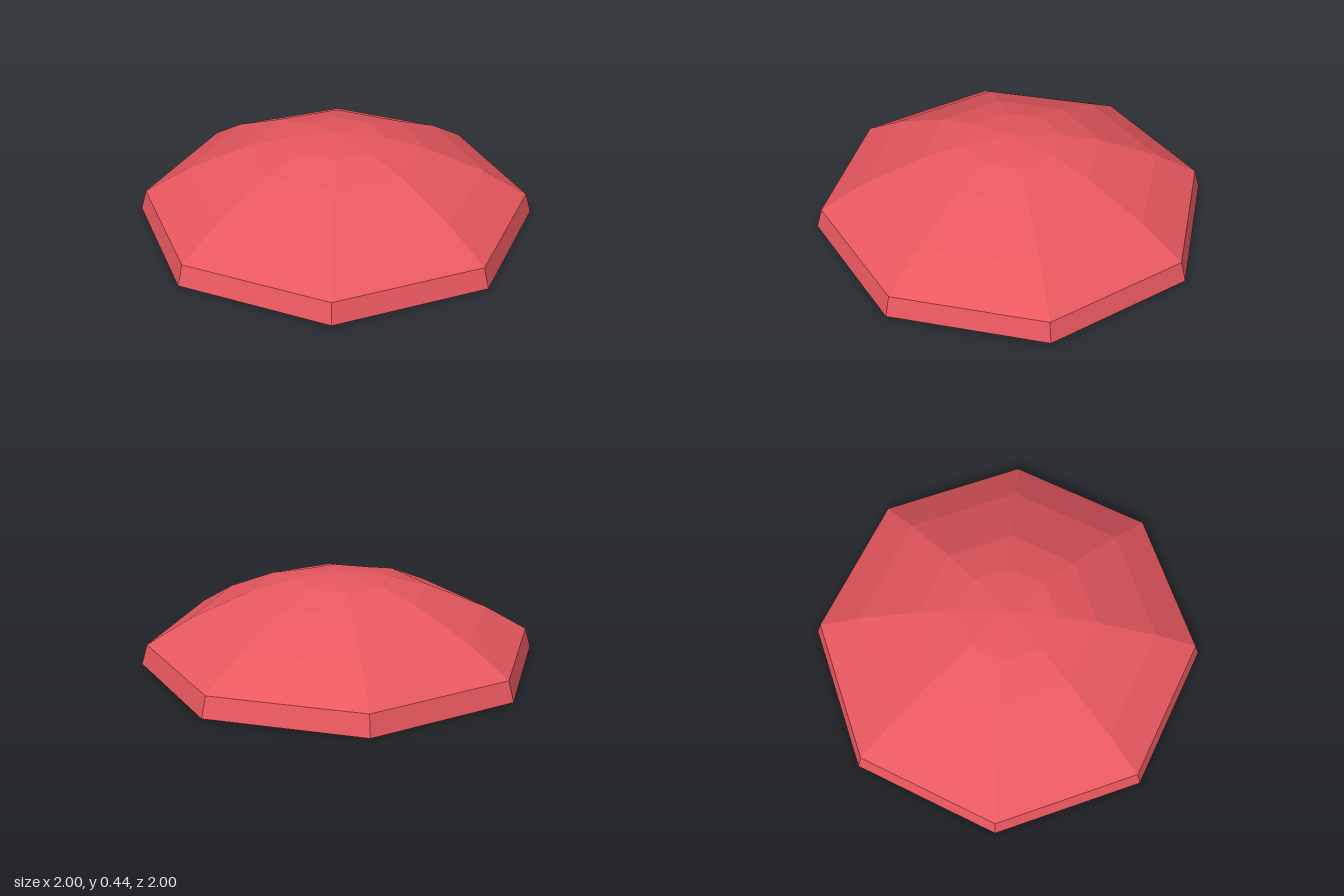
import * as THREE from 'three';

const SIDES = 8;

export function createModel() {
  const model = new THREE.Group();
  model.name = 'parasolCanopy';
  const cloth = new THREE.MeshStandardMaterial({
    color: 0xe8585f, flatShading: true, side: THREE.DoubleSide,
  });

  // Revolve a [radius, height] profile into an eight-sided shell
  const addShell = (name, profile) => {
    const points = profile.map(([r, y]) => new THREE.Vector2(r, y));
    const mesh = new THREE.Mesh(new THREE.LatheGeometry(points, SIDES), cloth);
    mesh.name = name;
    model.add(mesh);
  };

  // Short skirt hanging from the canopy edge
  addShell('valance', [[1, 0], [0.97, 0.1]]);

  // Faceted dome, open underneath
  addShell('dome', [[0.97, 0.1], [0.75, 0.23], [0.445, 0.36], [0.245, 0.412], [0, 0.442]]);

  return model;
}
